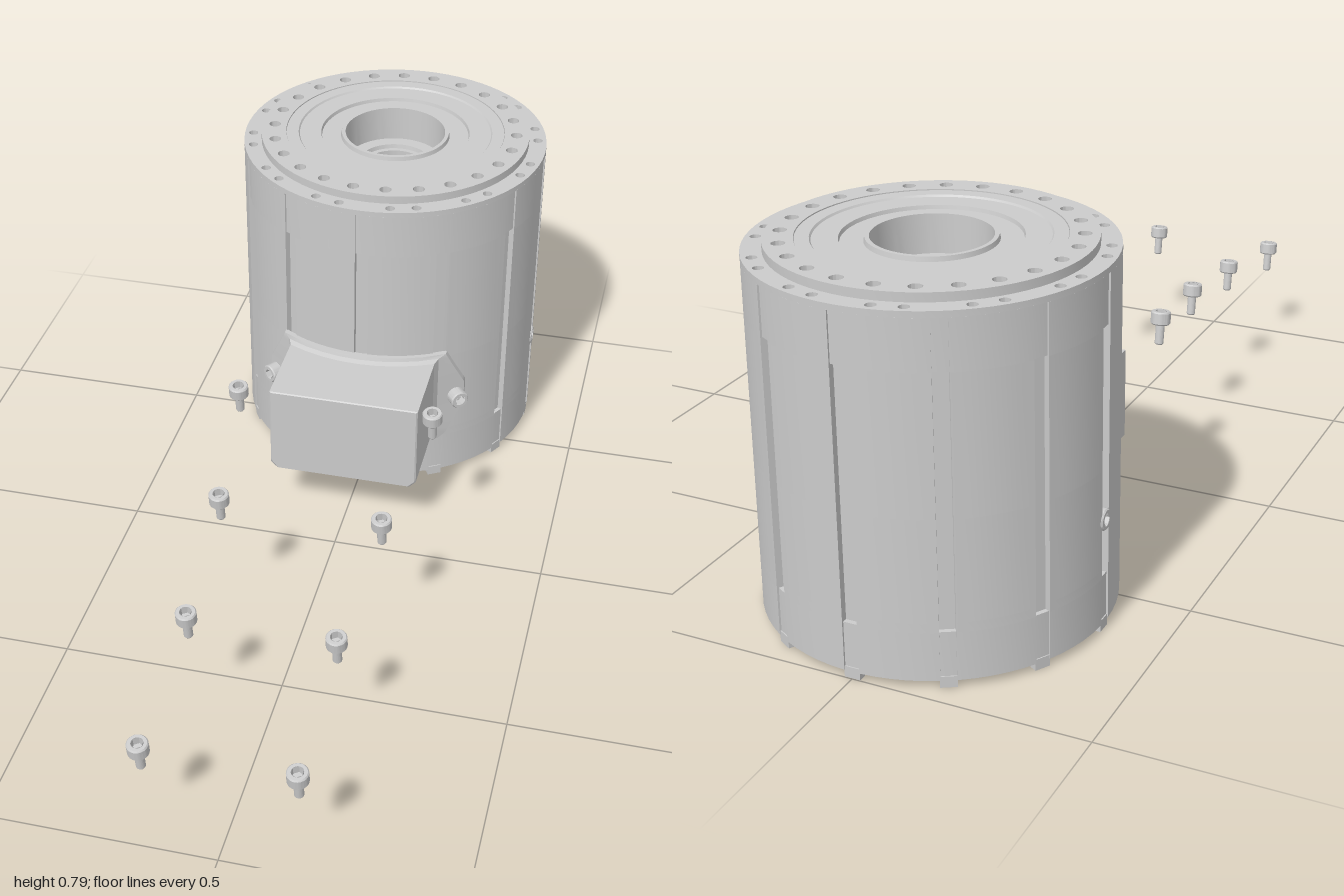
import * as THREE from 'three';
import { toCreasedNormals } from 'three/addons/utils/BufferGeometryUtils.js';

const CZ = -0.633, R = 0.367, INNER = 0.347, RAD = Math.PI / 180;
const mat = new THREE.MeshStandardMaterial({ color: 0xcccccc, side: THREE.DoubleSide });

function add(parent, geo, name) {
  const mesh = new THREE.Mesh(toCreasedNormals(geo, 0.5), mat);
  mesh.name = name;
  parent.add(mesh);
  return mesh;
}

const lathe = (pts, n) => new THREE.LatheGeometry(pts.map(p => new THREE.Vector2(...p)), n);

// Extrude a plan shape upwards from y0 to y1
function slab(shape, y0, y1) {
  const geo = new THREE.ExtrudeGeometry(shape, { depth: y1 - y0, bevelEnabled: false, curveSegments: 36 });
  return geo.rotateX(-Math.PI / 2).translate(0, y0, 0);
}

function circlePath(x, y, r) {
  return new THREE.Path().absarc(x, y, r, 0, Math.PI * 2, true);
}

// Wall band with twelve vertical grooves; gap is the half angle of a front opening
function wallBand(y0, y1, depth, gap = 0) {
  const outer = [], inner = [];
  for (let k = 0; k < 12; k++) {
    for (const [off, r] of [[-2.5, R], [-2.5, R - depth], [2.5, R - depth], [2.5, R],
      [7.5, R], [12.5, R], [17.5, R], [22.5, R]]) {
      const d = k * 30 + off;
      if (gap && (d < gap || d > 360 - gap)) continue;
      const a = (d - 90) * RAD;
      outer.push(new THREE.Vector2(Math.cos(a) * r, Math.sin(a) * r));
      if (r === R) inner.push(new THREE.Vector2(Math.cos(a) * INNER, Math.sin(a) * INNER));
    }
  }
  let shape;
  if (gap) shape = new THREE.Shape(outer.concat(inner.reverse()));
  else {
    shape = new THREE.Shape(outer);
    shape.holes.push(circlePath(0, 0, INNER));
  }
  return slab(shape, y0, y1);
}

// Flat ring with bolt holes
function drilledRing(rOut, rIn, y0, y1, angles, rPos, rHole) {
  const shape = new THREE.Shape().absarc(0, 0, rOut, 0, Math.PI * 2);
  shape.holes.push(circlePath(0, 0, rIn));
  for (const d of angles)
    shape.holes.push(circlePath(Math.cos(d * RAD) * rPos, Math.sin(d * RAD) * rPos, rHole));
  return slab(shape, y0, y1);
}

// Surface through closed rings of equal point count
function loft(rings) {
  const n = rings[0].length, index = [];
  for (let i = 0; i < rings.length - 1; i++)
    for (let j = 0; j < n; j++) {
      const a = i * n + j, b = i * n + (j + 1) % n;
      index.push(a, b, b + n, a, b + n, a + n);
    }
  const geo = new THREE.BufferGeometry().setFromPoints(rings.flat());
  geo.setIndex(index);
  geo.computeVertexNormals();
  return geo;
}

// Subdivide an outline and give each point a depth by rule
function ring(corners, zRule) {
  const pts = [];
  corners.forEach(([x, y], i) => {
    const [u, v] = corners[(i + 1) % corners.length];
    for (let s = 0; s < 8; s++) {
      const px = x + (u - x) * s / 8, py = y + (v - y) * s / 8;
      pts.push(new THREE.Vector3(px, 0.248 + py, zRule(px)));
    }
  });
  return pts;
}

// Socket head screw: y = 0 is the underside of the head
function screw(name) {
  const g = new THREE.Group();
  g.name = name;
  add(g, lathe([[0, -0.047], [0.008, -0.047], [0.01, -0.044], [0.01, 0], [0.02, 0], [0.0225, 0.003],
    [0.0225, 0.027], [0.02, 0.03], [0.013, 0.03]], 24), 'screwBody');
  add(g, lathe([[0.013, 0.03], [0.012, 0.013], [0, 0.013]], 6), 'hexSocket');
  return g;
}

export function createModel() {
  const root = new THREE.Group();
  root.name = 'motorHousing';
  const drum = new THREE.Group();
  drum.name = 'drum';
  drum.position.z = CZ;
  root.add(drum);

  // Outer wall, with an opening behind the connector box
  for (const [y0, y1, depth, gap] of [[0.016, 0.12, 0.004, 0], [0.12, 0.14, 0.014, 0],
    [0.14, 0.358, 0.014, 26.5], [0.358, 0.65, 0.014, 0], [0.65, 0.755, 0.004, 0]])
    add(drum, wallBand(y0, y1, depth, gap), 'groovedWall');

  // Feet below each groove
  for (let k = 0; k < 12; k++) {
    const foot = add(drum, new THREE.BoxGeometry(0.034, 0.024, 0.018).translate(0, 0.012, 0.356), 'foot');
    foot.rotation.y = k * 30 * RAD;
  }

  // Drilled rim and top flange
  const pairs = [], bolts = [];
  for (let k = 0; k < 12; k++) pairs.push(k * 30 + 10, k * 30 + 20);
  for (let k = 0; k < 24; k++) bolts.push(k * 15 + 7.5);
  add(drum, drilledRing(R, 0.32, 0.755, 0.768, pairs, 0.346, 0.011), 'topRim');
  add(drum, drilledRing(0.325, 0.265, 0.765, 0.787, bolts, 0.294, 0.014), 'boltRing');

  // Top plate, stepped hub and hollow shaft in one closed profile
  add(drum, lathe([[0.35, 0.755], [0.264, 0.757], [0.264, 0.785], [0.235, 0.785], [0.232, 0.781],
    [0.18, 0.781], [0.178, 0.773], [0.132, 0.773], [0.13, 0.783], [0.121, 0.783], [0.119, 0.7],
    [0.088, 0.7], [0.086, 0.69], [0.074, 0.69], [0.074, 0.03], [0.082, 0.03], [0.082, 0.66],
    [0.13, 0.66], [0.13, 0.735], [0.35, 0.735], [0.35, 0.755]], 72), 'topPlateAndShaft');

  // Connector box with a flange wrapped on the drum
  const flange = [[0.2, 0.125], [-0.2, 0.125], [-0.243, 0.03], [-0.243, -0.03], [-0.206, -0.112],
    [-0.19, -0.125], [0.19, -0.125], [0.206, -0.112], [0.243, -0.03], [0.243, 0.03]];
  const box = [[0.178, 0.112], [-0.178, 0.112], [-0.178, 0.03], [-0.178, -0.03], [-0.178, -0.096],
    [-0.162, -0.112], [0.162, -0.112], [0.178, -0.096], [0.178, -0.03], [0.178, 0.03]];
  const scaled = (pts, s) => pts.map(([x, y]) => [x * s, y * s]);
  const onDrum = r => x => CZ + Math.sqrt(r * r - x * x);
  const flat = z => () => z;
  add(root, loft([ring(flange, onDrum(R - 0.002)), ring(flange, onDrum(R + 0.011)),
    ring(scaled(box, 1.04), onDrum(R + 0.014)), ring(box, onDrum(R + 0.026))]), 'boxFlange');
  add(root, loft([ring(box, onDrum(R - 0.01)), ring(box, flat(-0.083)), ring(scaled(box, 0.98), flat(-0.08)),
    ring(scaled(box, 0.001), flat(-0.08))]), 'connectorBox');

  // Screws fitted radially: two through the flange, one on each flank
  for (const [deg, r] of [[36.5, 0.376], [-36.5, 0.376], [90, 0.34], [-90, 0.34]]) {
    const s = screw('fittedScrew');
    const dir = new THREE.Vector3(Math.sin(deg * RAD), 0, Math.cos(deg * RAD));
    s.quaternion.setFromUnitVectors(new THREE.Vector3(0, 1, 0), dir);
    s.position.copy(dir).multiplyScalar(r).setY(0.245);
    drum.add(s);
  }

  // Loose screws laid out in two rows ahead of the drum
  for (const side of [-1, 1])
    for (const [x, y, z] of [[0.227, 0.4, 0], [0.181, 0.346, 0.325], [0.159, 0.293, 0.648], [0.16, 0.239, 0.97]]) {
      const s = screw('looseScrew');
      s.position.set(side * x, y, z);
      s.rotation.x = 0.14;
      root.add(s);
    }
  return root;
}
